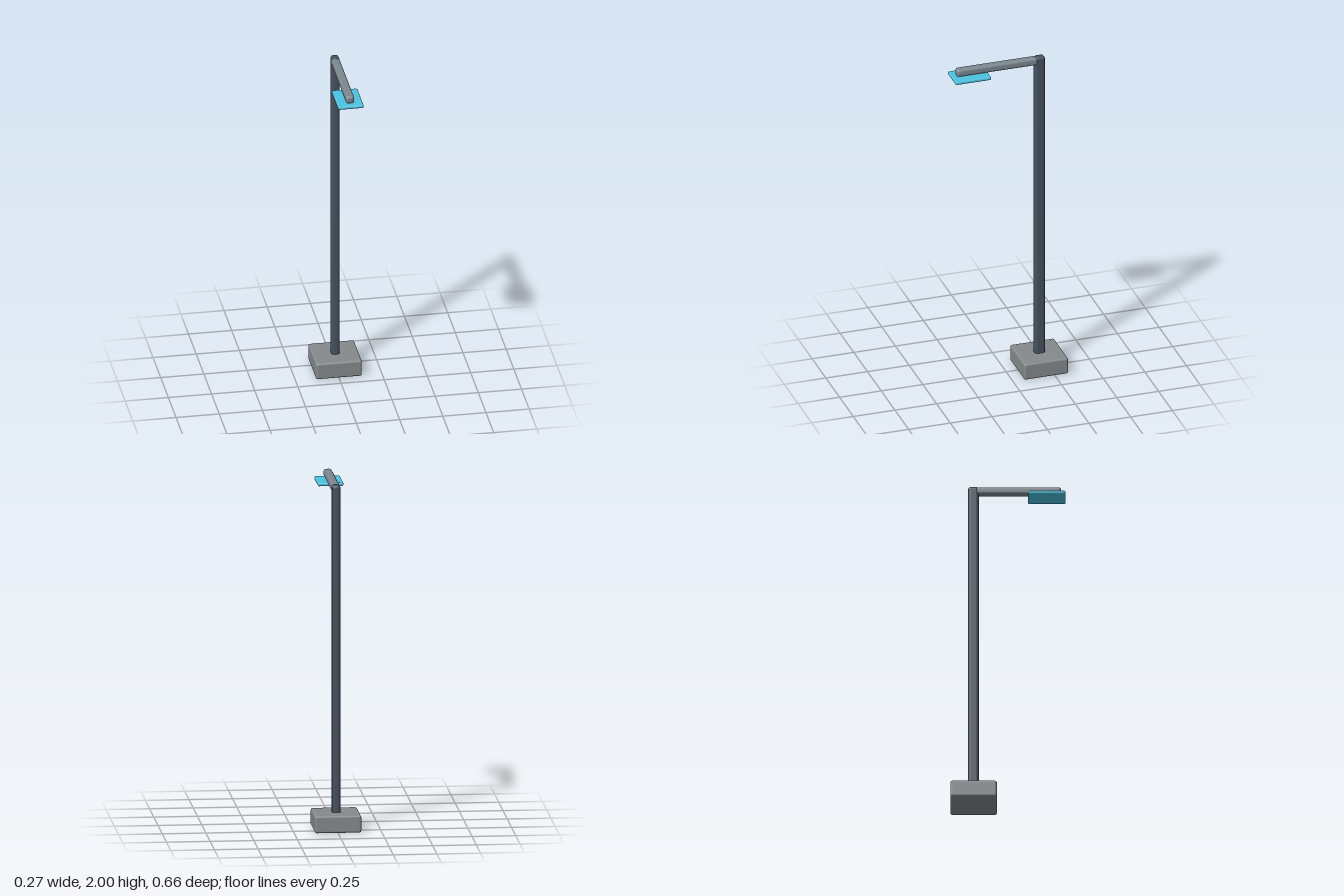
import * as THREE from 'three';
import { RoundedBoxGeometry } from 'three/addons/geometries/RoundedBoxGeometry.js';

// Rounded block given by its [min, max] extents, centred on x = 0
function block(name, color, width, [y0, y1], [z0, z1], radius) {
  const geometry = new RoundedBoxGeometry(width, y1 - y0, z1 - z0, 4, radius);
  const mesh = new THREE.Mesh(geometry, new THREE.MeshStandardMaterial({ color }));
  mesh.name = name;
  mesh.position.set(0, (y0 + y1) / 2, (z0 + z1) / 2);
  return mesh;
}

export function createModel() {
  const lamp = new THREE.Group();
  lamp.name = 'streetLamp';
  lamp.add(
    // Footing, with the post standing in it towards the back
    block('base', 0x858a8c, 0.266, [0, 0.1], [-0.33, -0.065], 0.012),
    block('post', 0x46525f, 0.048, [0.001, 2], [-0.23, -0.167], 0.018),
    // Arm reaching forward from the top of the post
    block('arm', 0x7b878f, 0.0484, [1.95, 1.997], [-0.186, 0.302], 0.016),
    // Thin light panel hanging under the end of the arm
    block('lightPanel', 0x4dc3e0, 0.148, [1.929, 1.95], [0.112, 0.327], 0.009),
  );
  return lamp;
}
